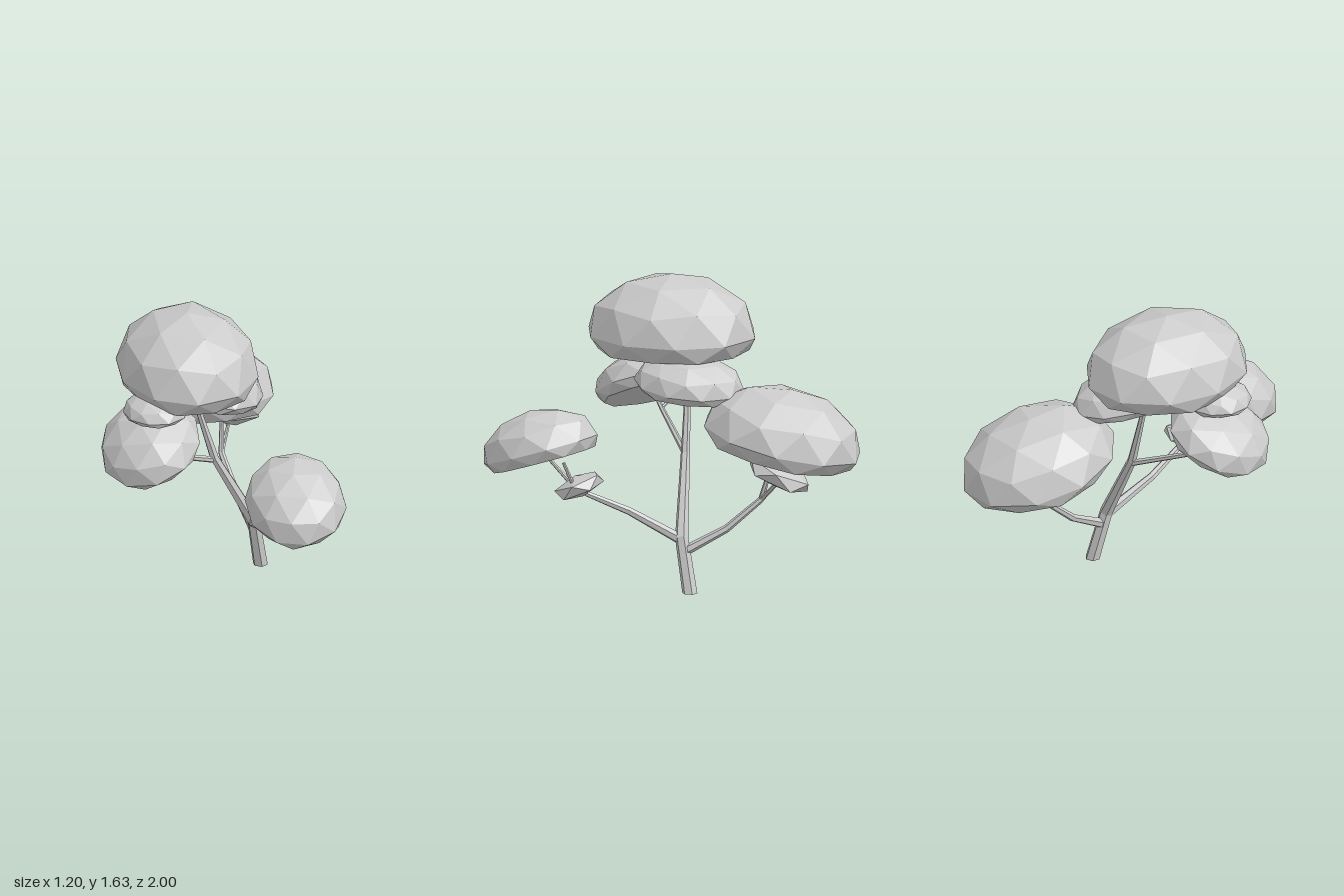
import * as THREE from 'three';

const material = new THREE.MeshStandardMaterial({ color: 0xcccccc, flatShading: true });

// Faceted dome with a flat underside; tilt leans the dome about x and z
function clump(name, detail, centre, radii, tilt, yaw = 0) {
  const geo = new THREE.IcosahedronGeometry(1, detail);
  geo.rotateX(-Math.atan((1 + Math.sqrt(5)) / 2)); // put one corner at the top
  geo.rotateY(yaw);
  if (detail > 0) {
    const p = geo.attributes.position;
    for (let i = 0; i < p.count; i++) p.setY(i, Math.max(p.getY(i), -0.28));
  }
  geo.scale(...radii);
  geo.computeVertexNormals();
  const mesh = new THREE.Mesh(geo, material);
  mesh.name = name;
  mesh.position.set(...centre);
  mesh.rotation.set(tilt[0], 0, tilt[1]);
  return mesh;
}

// Tapered limb through points [x, y, z, radius], one six-sided ring per point
function limb(name, points, sides = 6) {
  const centres = points.map(([x, y, z]) => new THREE.Vector3(x, y, z));
  const pos = [], index = [];
  const last = centres.length - 1;
  centres.forEach((c, i) => {
    const dir = centres[Math.min(i + 1, last)].clone().sub(centres[Math.max(i - 1, 0)]).normalize();
    if (i === 0 && c.y === 0) dir.set(0, 1, 0); // level cut at the ground
    const q = new THREE.Quaternion().setFromUnitVectors(new THREE.Vector3(0, 1, 0), dir);
    for (let s = 0; s < sides; s++) {
      const a = (s / sides) * Math.PI * 2;
      const v = new THREE.Vector3(Math.sin(a), 0, Math.cos(a)).multiplyScalar(points[i][3]);
      pos.push(...v.applyQuaternion(q).add(c).toArray());
    }
  });
  for (let i = 0; i < last; i++) {
    for (let s = 0; s < sides; s++) {
      const a = i * sides + s, b = i * sides + ((s + 1) % sides);
      index.push(a, b, b + sides, a, b + sides, a + sides);
    }
  }
  // end caps
  for (let s = 1; s < sides - 1; s++) {
    index.push(0, s + 1, s);
    index.push(last * sides, last * sides + s, last * sides + s + 1);
  }
  const geo = new THREE.BufferGeometry();
  geo.setAttribute('position', new THREE.Float32BufferAttribute(pos, 3));
  geo.setIndex(index);
  geo.computeVertexNormals();
  const mesh = new THREE.Mesh(geo, material);
  mesh.name = name;
  return mesh;
}

export function createModel() {
  const tree = new THREE.Group();
  tree.name = 'tree';

  // Trunk and branches
  const wood = new THREE.Group();
  wood.name = 'wood';
  wood.add(
    limb('trunk', [
      [0.34, 0, -0.12, 0.041], [0.29, 0.29, -0.065, 0.036],
      [0.07, 0.7, -0.04, 0.025], [-0.05, 1.1, -0.03, 0.014],
    ]),
    limb('upperTrunkFork', [[-0.03, 1.03, -0.03, 0.014], [-0.09, 1.28, 0.02, 0.01]]),
    limb('frontBranch', [
      [0.29, 0.28, -0.06, 0.03], [0.29, 0.42, 0.22, 0.022],
      [0.35, 0.52, 0.44, 0.016], [0.35, 0.59, 0.54, 0.012], [0.35, 0.74, 0.68, 0.009],
    ]),
    limb('frontTwig', [[0.35, 0.52, 0.44, 0.013], [0.41, 0.58, 0.5, 0.011], [0.42, 0.7, 0.55, 0.009]]),
    limb('backBranch', [
      [0.3, 0.22, -0.085, 0.028], [0.25, 0.34, -0.3, 0.021],
      [0.21, 0.5, -0.48, 0.017], [0.22, 0.63, -0.52, 0.012], [0.22, 0.8, -0.55, 0.009],
    ]),
    limb('backTwig', [[0.21, 0.5, -0.48, 0.014], [0.27, 0.61, -0.58, 0.011], [0.13, 0.78, -0.64, 0.009]]),
    limb('sideBranch', [
      [0.06, 0.69, -0.04, 0.018], [-0.27, 0.85, 0.16, 0.013], [-0.35, 0.94, 0.23, 0.008],
    ]),
    limb('sideTwig', [[-0.27, 0.85, 0.16, 0.01], [-0.3, 0.88, 0.13, 0.009], [-0.33, 0.98, 0.12, 0.007]]),
  );
  tree.add(wood);

  // Foliage
  const foliage = new THREE.Group();
  foliage.name = 'foliage';
  foliage.add(
    clump('topFoliage', 1, [-0.105, 1.31, 0.07], [0.38, 0.325, 0.465], [0, 0], 0.2),
    clump('backFoliage', 1, [0.14, 0.82, -0.58], [0.38, 0.28, 0.44], [-0.22, 0], 0.1),
    clump('frontFoliage', 1, [0.345, 0.75, 0.69], [0.27, 0.215, 0.325], [0.3, 0.13], 0.3),
    clump('sideFoliage', 1, [-0.345, 0.96, 0.245], [0.28, 0.185, 0.3], [0.3, 0.4], 0.2),
    clump('middleFoliage', 1, [0.1, 1.085, -0.065], [0.235, 0.16, 0.3], [-0.09, -0.13], 0.4),
    clump('upperSideFoliage', 1, [-0.32, 1.17, 0.26], [0.175, 0.1, 0.18], [0, 0], 0.5),
    clump('lowFrontFoliage', 0, [0.35, 0.56, 0.48], [0.145, 0.06, 0.15], [0.4, 0], 0.3),
    clump('lowBackFoliage', 0, [0.31, 0.67, -0.6], [0.15, 0.07, 0.2], [-0.4, 0], 0.3),
  );
  tree.add(foliage);
  return tree;
}
